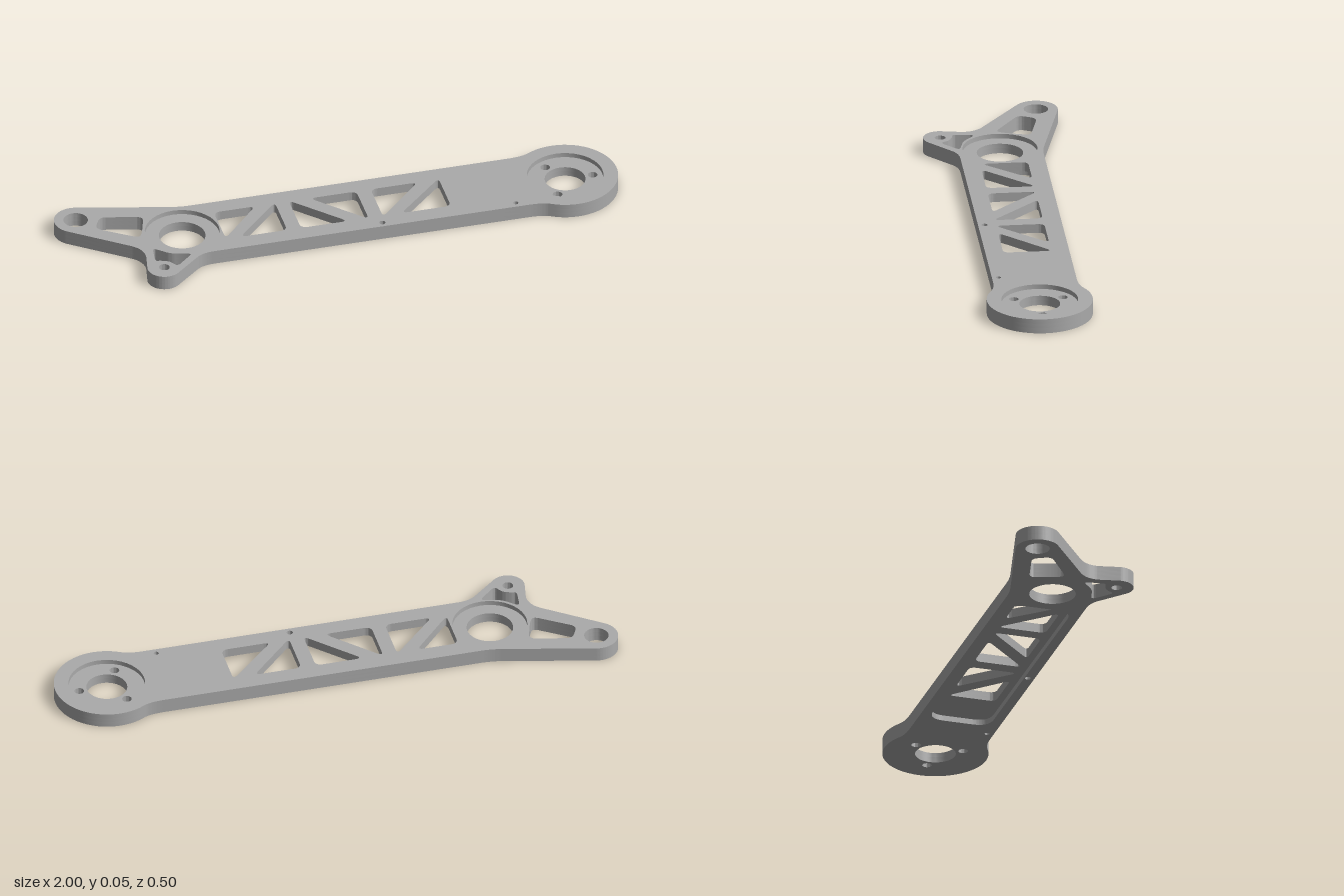
import * as THREE from 'three';
import { toCreasedNormals } from 'three/addons/utils/BufferGeometryUtils.js';

const rad = THREE.MathUtils.degToRad;
const HUB_A = [-0.58, 0.015];   // hub beside the forked end
const HUB_B = [0.812, 0.015];   // hub at the round end

// Plan shapes are drawn in (x, -z) and laid flat afterwards.
function outline() {
  const s = new THREE.Shape();
  s.moveTo(-0.5, -0.133);
  s.lineTo(0.64, -0.133);
  s.quadraticCurveTo(0.694, -0.133, 0.7185, -0.147);
  s.absarc(HUB_B[0], HUB_B[1], 0.187, rad(240), rad(480), false);   // round end
  s.quadraticCurveTo(0.694, 0.163, 0.64, 0.163);
  s.lineTo(-0.51, 0.163);
  s.quadraticCurveTo(-0.55, 0.163, -0.59, 0.173);
  s.absarc(-0.925, 0.177, 0.077, rad(76), rad(233), false);         // long arm tip
  s.lineTo(-0.775, -0.03);
  s.quadraticCurveTo(-0.738, -0.06, -0.742, -0.105);
  s.absarc(-0.697, -0.185, 0.06, rad(175), rad(310.6), false);      // short arm tip
  s.lineTo(-0.57, -0.155);
  s.quadraticCurveTo(-0.545, -0.133, -0.5, -0.133);
  return s;
}

function circle([x, y], r) {
  return new THREE.Path().absarc(x, y, r, 0, Math.PI * 2, false);
}

// Closed polygon with every corner rounded off
function rounded(points, r) {
  const path = new THREE.Path();
  const P = points.map(([x, y]) => new THREE.Vector2(x, y));
  P.forEach((p, i) => {
    const prev = P[(i + P.length - 1) % P.length], next = P[(i + 1) % P.length];
    const toward = (q) => {
      const d = q.clone().sub(p);
      return p.clone().addScaledVector(d.normalize(), Math.min(r, p.distanceTo(q) * 0.45));
    };
    const a = toward(prev), b = toward(next);
    if (i === 0) path.moveTo(a.x, a.y); else path.lineTo(a.x, a.y);
    path.quadraticCurveTo(p.x, p.y, b.x, b.y);
  });
  path.closePath();
  return path;
}

// Triangular truss windows: right-angle corner plus signed leg lengths
const trussHoles = () => [
  [-0.443, 0.10, 0.15, -0.165],
  [-0.22, -0.07, -0.17, 0.175],
  [-0.17, -0.07, 0.17, 0.175],
  [0.075, 0.10, -0.17, -0.175],
  [0.127, 0.10, 0.17, -0.175],
  [0.375, -0.07, -0.18, 0.175],
].map(([x, y, dx, dy]) => rounded([[x, y], [x + dx, y], [x, y + dy]], 0.026));

// Openings that pass through the full thickness outside the truss
const commonHoles = () => [
  circle([-0.925, 0.177], 0.043),
  circle([-0.697, -0.185], 0.019),
  circle([0.115, -0.11], 0.011),
  circle([0.6, -0.11], 0.009),
  rounded([[-0.84, 0.172], [-0.69, 0.135], [-0.718, 0.045], [-0.735, 0.015], [-0.872, 0.108]], 0.025),
  rounded([[-0.708, -0.06], [-0.655, -0.108], [-0.58, -0.127], [-0.65, -0.19],
    [-0.668, -0.155], [-0.7, -0.142], [-0.718, -0.14]], 0.02),
];

const hubHoles = () => [
  circle(HUB_A, 0.082),
  circle(HUB_B, 0.072),
  ...[0, 120, 240].map((a) =>
    circle([HUB_B[0] + 0.1 * Math.cos(rad(a)), HUB_B[1] + 0.1 * Math.sin(rad(a))], 0.017)),
];

// Wide bearing seats sunk into the top face
const bearingSeats = () => [circle(HUB_A, 0.132), circle(HUB_B, 0.135)];

// Shallow lightening pocket under the truss
const pocket = () => rounded([[-0.455, -0.097], [0.54, -0.097], [0.54, 0.127], [-0.455, 0.127]], 0.06);

export function createModel() {
  const model = new THREE.Group();
  model.name = 'linkArm';
  const metal = new THREE.MeshStandardMaterial({ color: 0xaaaaaa });
  metal.name = 'machined grey';

  // The plate is stacked from three slices, each with its own openings
  const slices = [
    ['pocketedUnderside', 0, 0.02, [...commonHoles(), ...hubHoles(), pocket()]],
    ['trussWeb', 0.02, 0.036, [...commonHoles(), ...hubHoles(), ...trussHoles()]],
    ['topWithBearingSeats', 0.036, 0.053, [...commonHoles(), ...bearingSeats(), ...trussHoles()]],
  ];
  for (const [name, y0, y1, holes] of slices) {
    const shape = outline();
    shape.holes.push(...holes);
    const geo = new THREE.ExtrudeGeometry(shape, { depth: y1 - y0, bevelEnabled: false, curveSegments: 20 });
    geo.rotateX(-Math.PI / 2);
    geo.translate(0, y0, 0);
    const mesh = new THREE.Mesh(toCreasedNormals(geo, rad(35)), metal);
    mesh.name = name;
    model.add(mesh);
  }
  return model;
}
